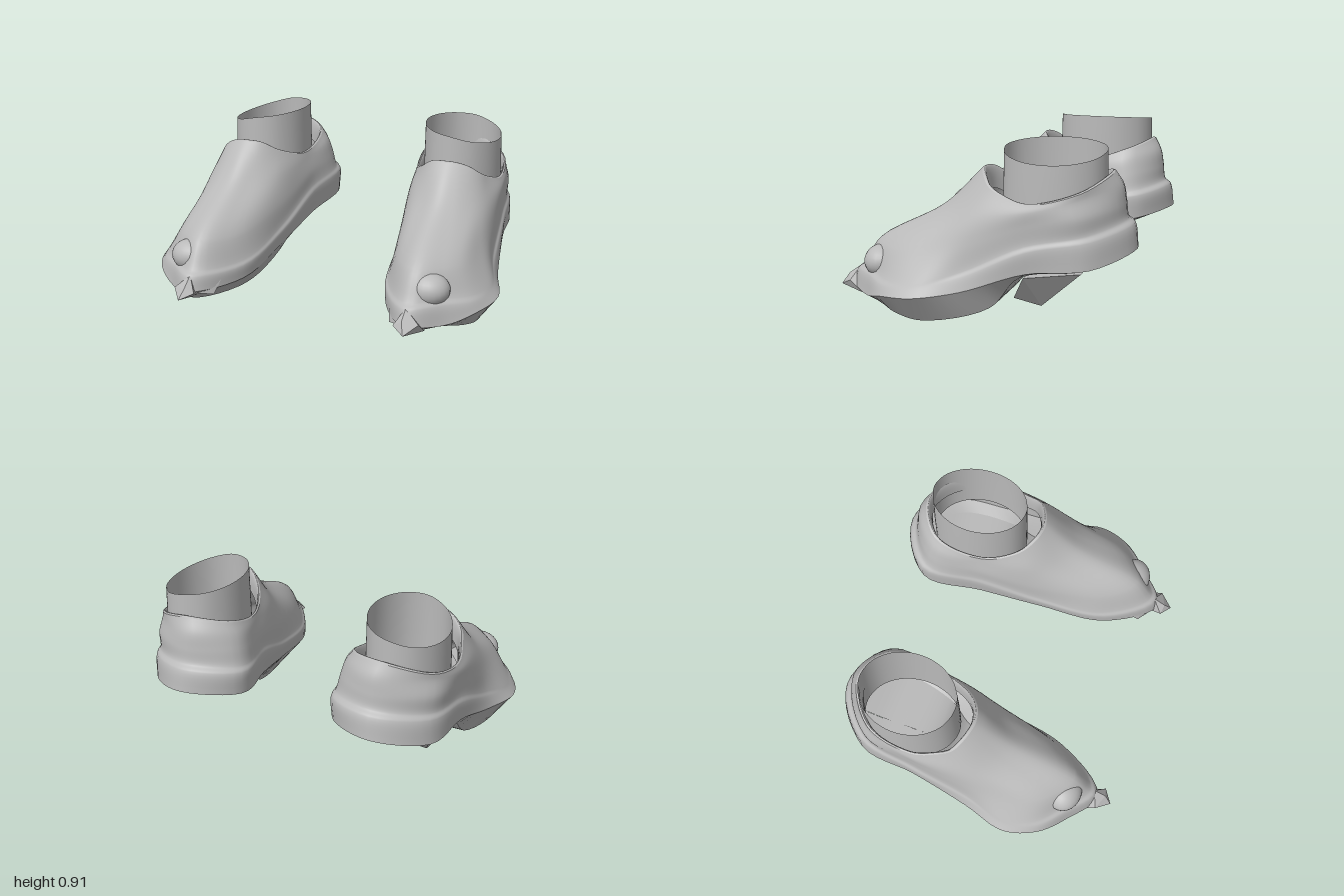
import * as THREE from 'three';
import { ConvexGeometry } from 'three/addons/geometries/ConvexGeometry.js';

const grey = new THREE.MeshStandardMaterial({ color: 0xbababa, side: THREE.DoubleSide });
grey.name = 'plain grey';

// Rings of one shoe: toe, outer side, heel, inner side (x, y, z)
const under = [[.62, .06, .68], [.76, .05, .53], [.86, .03, .42], [.89, .005, .25], [.83, .085, -.1], [.8, .25, -.25],
  [.76, .295, -.56], [.55, .36, -.74], [.34, .3, -.56], [.38, .25, -.25], [.45, .085, -.1], [.5, .005, .25]];
const randLow = [[.62, .11, .73], [.8, .09, .6], [.935, .13, .46], [.995, .15, .27], [.93, .185, .03], [.87, .29, -.3],
  [.82, .32, -.62], [.55, .385, -.81], [.27, .35, -.64], [.31, .29, -.3], [.36, .2, .05], [.42, .12, .45]];
const randTop = [[.62, .19, .71], [.79, .19, .58], [.915, .18, .45], [.965, .19, .27], [.91, .255, .03], [.875, .4, -.3],
  [.81, .46, -.62], [.54, .51, -.79], [.265, .48, -.64], [.3, .42, -.3], [.35, .28, .05], [.42, .19, .45]];
const sides = [[.62, .37, .575], [.75, .36, .49], [.83, .36, .38], [.87, .37, .2], [.875, .42, 0], [.86, .53, -.3],
  [.81, .58, -.58], [.54, .62, -.745], [.3, .6, -.6], [.32, .54, -.3], [.37, .44, .02], [.48, .36, .42]];
const instep = [[.61, .575, .21], [.7, .565, .18], [.77, .55, .13], [.82, .55, .05], [.85, .57, -.08], [.86, .6, -.3],
  [.8, .66, -.55], [.54, .71, -.73], [.32, .68, -.58], [.34, .62, -.3], [.4, .59, -.02], [.51, .57, .14]];
const collar = [[.6, .78, 0], [.66, .775, -.01], [.73, .75, -.04], [.78, .71, -.08], [.81, .675, -.15], [.845, .64, -.3],
  [.79, .7, -.56], [.56, .78, -.69], [.36, .74, -.58], [.35, .66, -.3], [.43, .71, -.1], [.52, .77, -.02]];

// Shrinks a ring about the middle of the shoe opening or sole
const inset = (ring, s, dy, cz) => ring.map(([x, y, z]) => [.6 + (x - .6) * s, y + dy, cz + (z - cz) * s]);
const smoothRing = (ring, n) => new THREE.CatmullRomCurve3(
  ring.map(p => new THREE.Vector3(...p)), true).getPoints(n).slice(0, n);

// Skins a stack of closed rings; steps > 1 curves the skin between them
function loft(rings, side, steps = 1, n = 72) {
  const rows = rings.map(r => smoothRing(r, n));
  const count = (rows.length - 1) * steps;
  const pos = [], index = [];
  const columns = rows[0].map((_, u) => {
    const pts = rows.map(r => r[u]);
    return steps > 1 ? new THREE.CatmullRomCurve3(pts).getPoints(count) : pts;
  });
  for (let v = 0; v <= count; v++) {
    for (let u = 0; u < n; u++) {
      const p = columns[u][v];
      pos.push(p.x * side, p.y, p.z);
      if (v === count) continue;
      const a = v * n + u, b = v * n + (u + 1) % n, c = b + n, d = a + n;
      if (side > 0) index.push(a, b, c, a, c, d);
      else index.push(a, c, b, a, d, c);
    }
  }
  const g = new THREE.BufferGeometry();
  g.setAttribute('position', new THREE.Float32BufferAttribute(pos, 3));
  g.setIndex(index);
  g.computeVertexNormals();
  return g;
}

const hull = (points, side) =>
  new ConvexGeometry(points.map(([x, y, z]) => new THREE.Vector3(x * side, y, z)));

function makeShoe(side) {
  const shoe = new THREE.Group();
  shoe.name = side > 0 ? 'leftShoe' : 'rightShoe';
  const add = (name, geometry) => {
    const mesh = new THREE.Mesh(geometry, grey);
    mesh.name = name;
    shoe.add(mesh);
    return mesh;
  };

  // Underside closed along the middle line, and the sole wall
  const spine = under.map(([x, y, z]) => [.62, y, z]);
  add('sole', loft([spine, under], side));
  add('soleWall', loft([under, randLow], side));

  // Rolled welt, upper and turned-in collar
  add('upper', loft([randLow, randTop, inset(randTop, .955, .03, -.05), sides, instep, collar], side, 6));
  add('collarLining', loft([collar, inset(collar, .96, .005, -.35), inset(collar, .92, -.04, -.35),
    inset(collar, .91, -.12, -.35)], side, 3));

  // Open ankle tube with a slanted rim
  const tubeRing = (s, height) => Array.from({ length: 12 }, (_, i) => {
    const a = i / 12 * Math.PI * 2;
    const x = .595 + Math.sin(a) * .212 * s;
    return [x, height(x), -.385 + Math.cos(a) * .27 * s];
  });
  add('ankleTube', loft([tubeRing(1.02, () => .45), tubeRing(1.02, () => .65),
    tubeRing(1, x => .893 - .26 * Math.max(0, x - .6) + .12 * Math.max(0, .6 - x))], side));

  // Pointed heel wedge
  add('heelWedge', hull([[.36, .24, -.25], [.84, .26, -.28], [.79, .29, -.57], [.36, .29, -.57],
    [.7, .08, -.34], [.73, .12, -.2], [.45, .2, -.22]], side));

  // Toe bump and ragged toe tip
  const bump = add('toeBump', new THREE.SphereGeometry(1, 24, 16));
  bump.scale.set(.115, .09, .1);
  bump.position.set(.69 * side, .255, .54);
  add('toeTip', hull([[.64, .09, .81], [.57, .12, .76], [.7, .13, .735], [.62, .2, .7],
    [.6, .07, .66], [.71, .07, .66], [.62, .15, .77]], side));
  add('toeNub', hull([[.51, .08, .64], [.49, .15, .59], [.56, .19, .66], [.58, .1, .7], [.55, .07, .58]], side));
  return shoe;
}

export function createModel() {
  const model = new THREE.Group();
  model.name = 'pairOfShoes';
  for (const side of [1, -1]) model.add(makeShoe(side));
  return model;
}
